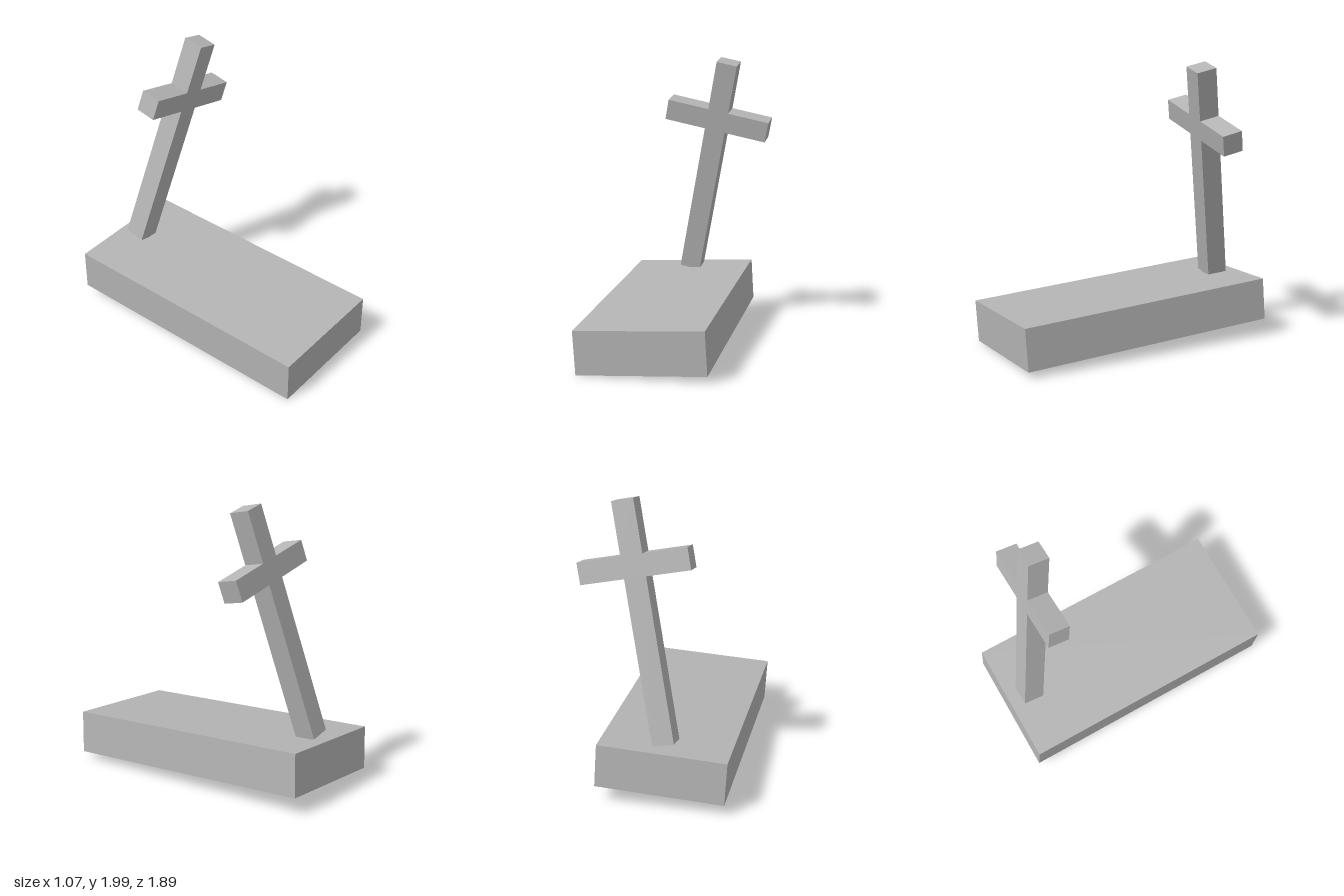
import * as THREE from 'three';

export function createModel() {
  const model = new THREE.Group();
  model.name = 'grave';
  const stone = new THREE.MeshStandardMaterial({ color: 0xb4b4b4 });
  stone.name = 'grey stone';

  // Slab, slightly sunk towards the front left
  const slab = new THREE.Mesh(new THREE.BoxGeometry(0.874, 0.3, 1.873), stone);
  slab.name = 'slab';
  slab.position.set(-0.09, 0.218, 0.002);
  slab.rotation.set(0.043, 0, 0.052);
  model.add(slab);

  // Leaning cross: one outline with its origin at the crossing of the bars
  const h = 0.0745, arm = 0.375, top = 0.433, foot = -1.191;
  const outline = new THREE.Shape([
    [-h, foot], [h, foot], [h, -h], [arm, -h], [arm, h], [h, h],
    [h, top], [-h, top], [-h, h], [-arm, h], [-arm, -h], [-h, -h],
  ].map(([x, y]) => new THREE.Vector2(x, y)));
  const crossGeometry = new THREE.ExtrudeGeometry(outline, { depth: 2 * h, bevelEnabled: false });
  crossGeometry.translate(0, 0, -h);
  const cross = new THREE.Mesh(crossGeometry, stone);
  cross.name = 'cross';
  cross.position.set(0.149, 1.555, -0.53);
  cross.rotation.set(0.2, 0, -0.21, 'ZYX');
  model.add(cross);

  return model;
}
